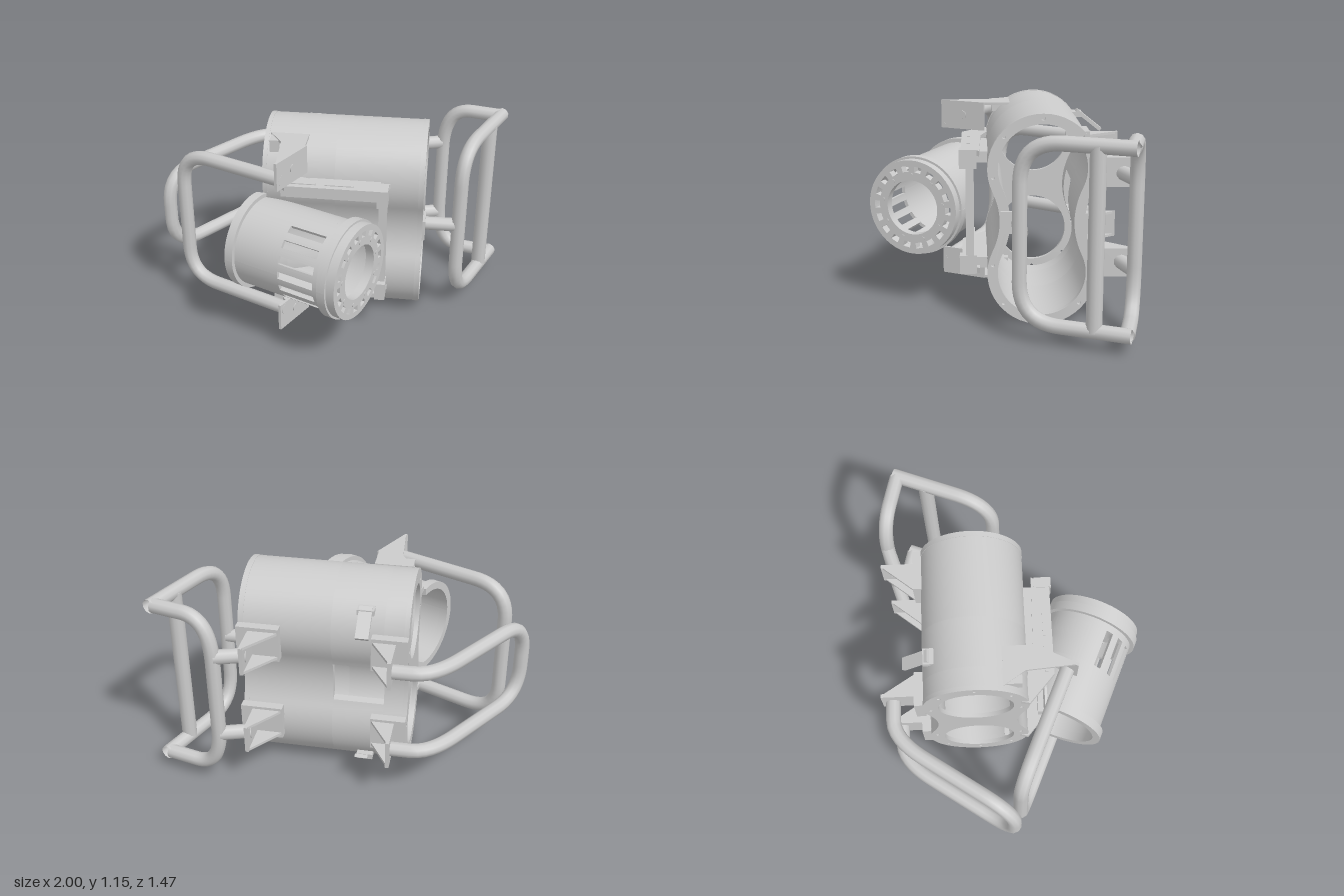
import * as THREE from 'three';
import { toCreasedNormals } from 'three/addons/utils/BufferGeometryUtils.js';

const mat = new THREE.MeshStandardMaterial({ color: 0xcccccc, side: THREE.DoubleSide });
const V = (x, y, z) => new THREE.Vector3(x, y, z);
const P = (x, y) => new THREE.Vector2(x, y);

function mesh(name, geo, parent, x = 0, y = 0, z = 0) {
  const m = new THREE.Mesh(geo, mat);
  m.name = name;
  m.position.set(x, y, z);
  parent.add(m);
  return m;
}
function box(name, parent, x0, x1, y0, y1, z0, z1) {
  return mesh(name, new THREE.BoxGeometry(x1 - x0, y1 - y0, z1 - z0), parent,
    (x0 + x1) / 2, (y0 + y1) / 2, (z0 + z1) / 2);
}
const rawExtrude = (shape, depth, steps = 1) =>
  new THREE.ExtrudeGeometry(shape, { depth, steps, bevelEnabled: false, curveSegments: 28 });
const extrude = (shape, depth) => toCreasedNormals(rawExtrude(shape, depth), 0.5);

// Flat plate cut from an x/z polygon, top face at y
function slab(name, parent, pts, y, t) {
  const geo = extrude(new THREE.Shape(pts.map(([x, z]) => P(x, z))), t).rotateX(Math.PI / 2);
  return mesh(name, geo, parent, 0, y, 0);
}
// Bent tube: straight runs with rounded corners
function pipe(name, parent, pts, d = 0.2, r = 0.04) {
  const path = new THREE.CurvePath();
  let last = pts[0];
  for (let i = 1; i < pts.length - 1; i++) {
    const p = pts[i], a = pts[i - 1], b = pts[i + 1];
    const near = q => p.clone().add(q.clone().sub(p).setLength(Math.min(d, q.distanceTo(p) * 0.49)));
    const s = near(a), e = near(b);
    path.add(new THREE.LineCurve3(last, s));
    path.add(new THREE.QuadraticBezierCurve3(s, p, e));
    last = e;
  }
  path.add(new THREE.LineCurve3(last, pts[pts.length - 1]));
  return mesh(name, new THREE.TubeGeometry(path, pts.length > 2 ? 60 : 1, r, 10), parent);
}
const flipY = pts => [...pts, ...pts.slice().reverse().map(p => V(p.x, -p.y, p.z))];

// Two-lobed outline, starting and ending at the back waist
const LOBE = 0.285;
function outline(R) {
  const a = -25 * Math.PI / 180, half = [];
  const t = P(R * Math.cos(a), LOBE + R * Math.sin(a));
  const waist = new THREE.QuadraticBezierCurve(P(t.x, -t.y), P(t.x - t.y * Math.tan(-a), 0), t);
  for (let i = 0; i < 10; i++) half.push(waist.getPoint(0.5 + i / 20));
  for (let i = 0; i <= 15; i++) {
    const k = a + (Math.PI / 2 - a) * i / 15;
    half.push(P(R * Math.cos(k), LOBE + R * Math.sin(k)));
  }
  const rev = half.slice().reverse();
  return [...half, ...rev.slice(1).map(p => P(-p.x, p.y)),
    ...half.slice(1).map(p => P(-p.x, -p.y)), ...rev.slice(1, -1).map(p => P(p.x, -p.y))];
}
function circleHole(shape, x, y, r) {
  shape.holes.push(new THREE.Path().absarc(x, y, r, 0, Math.PI * 2, true));
}
function lobeRing(R, r) {
  const s = new THREE.Shape(outline(R));
  if (r) s.holes.push(new THREE.Path(outline(r)));
  return s;
}
function boltHoles(shape, rad) {
  for (const side of [1, -1]) for (let i = 0; i < 5; i++) {
    const a = (-10 + i * 50) * Math.PI / 180;
    circleHole(shape, rad * Math.cos(a), side * (LOBE + rad * Math.sin(a)), 0.01);
  }
}
// Arc section of a round tube
function sector(r0, r1, a0, a1) {
  const s = new THREE.Shape();
  s.absarc(0, 0, r1, a0, a1, false);
  s.absarc(0, 0, r0, a1, a0, true);
  return s;
}

function makeBody(parent) {
  const body = new THREE.Group();
  body.name = 'twinTubeBody';
  body.position.z = -0.22;
  body.rotation.y = Math.PI / 2;
  parent.add(body);
  const part = (name, shape, x0, x1) => mesh(name, extrude(shape, x1 - x0), body, 0, 0, x0);
  part('shellRight', lobeRing(0.288, 0.25), -0.35, -0.24);
  part('shellLeft', lobeRing(0.288, 0.25), 0.04, 0.515);
  // Middle stretch, open at the back waist as a window
  const open = R => outline(R).filter(p => !(p.x > 0 && Math.abs(p.y) < 0.105));
  part('shellWindow', new THREE.Shape([...open(0.288), ...open(0.25).reverse()]), -0.24, 0.04);
  const flange = lobeRing(0.29, 0.235);
  boltHoles(flange, 0.264);
  part('openEndFlange', flange, 0.51, 0.54);
  const plate = lobeRing(0.29);
  for (const s of [1, -1]) circleHole(plate, 0, s * LOBE, 0.205);
  boltHoles(plate, 0.25);
  part('endPlate', plate, -0.37, -0.345);
}

function makeLamp(parent) {
  const lamp = new THREE.Group(), tilt = 1.155, deg = Math.PI / 180;
  lamp.name = 'slottedHousing';
  lamp.position.set(-0.4, 0, 0.205);
  lamp.rotation.y = tilt;
  parent.add(lamp);
  // Arc wall whose mount side is opened along the cradle plane
  const wall = (name, r0, r1, a, b, a0, a1) => {
    const geo = rawExtrude(sector(r0, r1, a0 * deg, a1 * deg), b - a, 6).translate(0, 0, a);
    const pos = geo.attributes.position;
    for (let i = 0; i < pos.count; i++) {
      const x = pos.getX(i), y = pos.getY(i), z = pos.getZ(i);
      const limit = (Math.cos(tilt) * z + 0.035) / Math.sin(tilt);
      const cut = Math.acos(Math.min(1, limit / 0.25));
      const r = Math.hypot(x, y), k = Math.abs(Math.atan2(y, x));
      if (k > Math.PI / 2) continue;
      const turned = Math.sign(y) * (cut + k * (1 - cut / (Math.PI / 2)));
      pos.setXY(i, r * Math.cos(turned), r * Math.sin(turned));
    }
    mesh(name, toCreasedNormals(geo, 0.5), lamp);
  };
  const hoop = (name, r0, r1, a, b) => {
    wall(name, r0, r1, a, b, 0.1, 180);
    wall(name, r0, r1, a, b, 180, 359.9);
  };
  hoop('backFlange', 0.235, 0.278, 0, 0.05);
  hoop('backBarrel', 0.235, 0.255, 0.05, 0.33);
  hoop('frontBarrel', 0.235, 0.255, 0.55, 0.6);
  hoop('frontCollar', 0.235, 0.28, 0.59, 0.64);
  // Slotted stretch: bars between the slots, solid toward the mount
  for (let i = 0; i < 6; i++) {
    const c = 180 + (i - 2.5) * 20;
    wall('slotBar', 0.235, 0.255, 0.33, 0.55, c - 5, c + 5);
  }
  wall('solidSide', 0.235, 0.255, 0.33, 0.55, 0.1, 115);
  wall('solidSide', 0.235, 0.255, 0.33, 0.55, 245, 359.9);

  // Face ring with oblong vents
  const face = new THREE.Shape().absarc(0, 0, 0.268, 0, Math.PI * 2, false);
  circleHole(face, 0, 0, 0.155);
  for (let i = 0; i < 18; i++) {
    const a = i * 20 * deg;
    face.holes.push(new THREE.Path(sector(0.203, 0.235, a - 0.095, a + 0.095).getPoints(4)));
  }
  mesh('faceRing', extrude(face, 0.05), lamp, 0, 0, 0.64);
  for (let i = 0; i < 9; i++) {
    const a = (i * 40 + 10) * deg;
    const bolt = mesh('faceBolt', new THREE.CylinderGeometry(0.013, 0.013, 0.01, 6), lamp,
      0.185 * Math.cos(a), 0.185 * Math.sin(a), 0.689);
    bolt.rotation.x = Math.PI / 2;
  }
}

// Rear mount for a tube; x0 is the thin end of the gusset, x1 the tall end, x2 the foot end
function rearBracket(parent, x0, x1, x2) {
  box('rearFoot', parent, Math.min(x0, x2), Math.max(x0, x2), 0.155, 0.35, -0.55, -0.5);
  for (const y of [0.185, 0.33]) slab('rearGusset', parent, [[x0, -0.54], [x1, -0.54], [x1, -0.73]], y, 0.015);
  box('rearUpright', parent, x1 - 0.01, x1 + 0.01, 0.17, 0.33, -0.73, -0.54);
}

// Everything that appears once above and once below the mid plane
function makeMirroredParts() {
  const g = new THREE.Group();
  rearBracket(g, 0.31, 0.465, 0.54);
  rearBracket(g, -0.18, -0.3, -0.37);
  pipe('guardStay', g, [V(0.46, 0.245, -0.65), V(0.62, 0.245, -0.7)]);

  // Front loop bracket: flat gusset over an angled upright plate
  slab('loopGusset', g, [[-0.34, -0.07], [-0.12, -0.07], [-0.12, 0.08], [-0.24, 0.32], [-0.26, 0.05]], 0.535, 0.015);
  slab('loopUpright', g, [[-0.125, 0.075], [-0.11, 0.08], [-0.235, 0.33], [-0.25, 0.325]], 0.535, 0.165);
  const bolt = mesh('loopBolt', new THREE.CylinderGeometry(0.025, 0.025, 0.03, 6), g, -0.18, 0.455, 0.2);
  bolt.rotation.set(Math.PI / 2, 0, -1.1);
  box('sideTab', g, -0.33, -0.28, 0.46, 0.53, -0.07, 0.03);

  // Small drilled tab on the upper back
  const tab = box('backTab', g, -0.175, -0.105, -0.09, 0.09, -0.01, 0.01);
  tab.position.set(-0.14, 0.43, -0.53);
  tab.rotation.x = 0.9;
  box('backTabFoot', g, -0.185, -0.095, 0.45, 0.48, -0.49, -0.43);

  // Cradle rail with raised keys and a foot on the body
  slab('cradleRail', g, [[-0.37, 0.02], [-0.1, 0.1], [0.355, 0.11], [0.29, 0.21], [-0.22, 0.21], [-0.38, 0.07]], 0.345, 0.03);
  box('cradleLip', g, -0.25, 0.3, 0.255, 0.345, 0.135, 0.165);
  box('cradleEar', g, 0.29, 0.35, 0.245, 0.35, 0.125, 0.22);
  box('cradleFoot', g, -0.1, 0.3, 0.27, 0.33, 0.04, 0.135);
  for (const x of [-0.13, 0.08]) box('railKey', g, x - 0.08, x + 0.08, 0.34, 0.35, 0.16, 0.178);
  return g;
}

export function createModel() {
  const model = new THREE.Group();
  model.name = 'twinTubeRig';
  const rig = new THREE.Group();
  rig.name = 'rig';
  rig.position.y = 0.575;
  model.add(rig);

  makeBody(rig);
  makeLamp(rig);
  const upper = makeMirroredParts(), lower = makeMirroredParts();
  upper.name = 'upperFittings';
  lower.name = 'lowerFittings';
  lower.scale.y = -1;
  rig.add(upper, lower);
  box('cradleWeb', rig, 0.3, 0.345, -0.25, 0.25, 0.14, 0.185);

  // Handle loops on the right
  pipe('frontLoop', rig, flipY([V(-0.21, 0.415, 0.28), V(-0.845, 0.415, 0.0)]), 0.2);
  pipe('rearLoop', rig, flipY([V(-0.3, 0.245, -0.67), V(-0.52, 0.245, -0.67), V(-0.955, 0.245, -0.04)]), 0.2);

  // Guard frame on the left
  pipe('guardFrame', rig, flipY([V(0.965, 0.475, -0.64), V(0.745, 0.475, -0.09)]), 0.22);
  pipe('guardBow', rig, flipY([V(0.95, 0.475, -0.62), V(0.625, 0.475, -0.7)]), 0.26);
  mesh('guardBar', new THREE.CylinderGeometry(0.042, 0.042, 0.95, 12), rig, 0.893, 0, -0.46);
  pipe('guardStub', rig, [V(0.54, 0, -0.095), V(0.745, 0, -0.095)]);
  box('stubPad', rig, 0.535, 0.555, -0.06, 0.06, -0.13, 0.0);
  return model;
}
